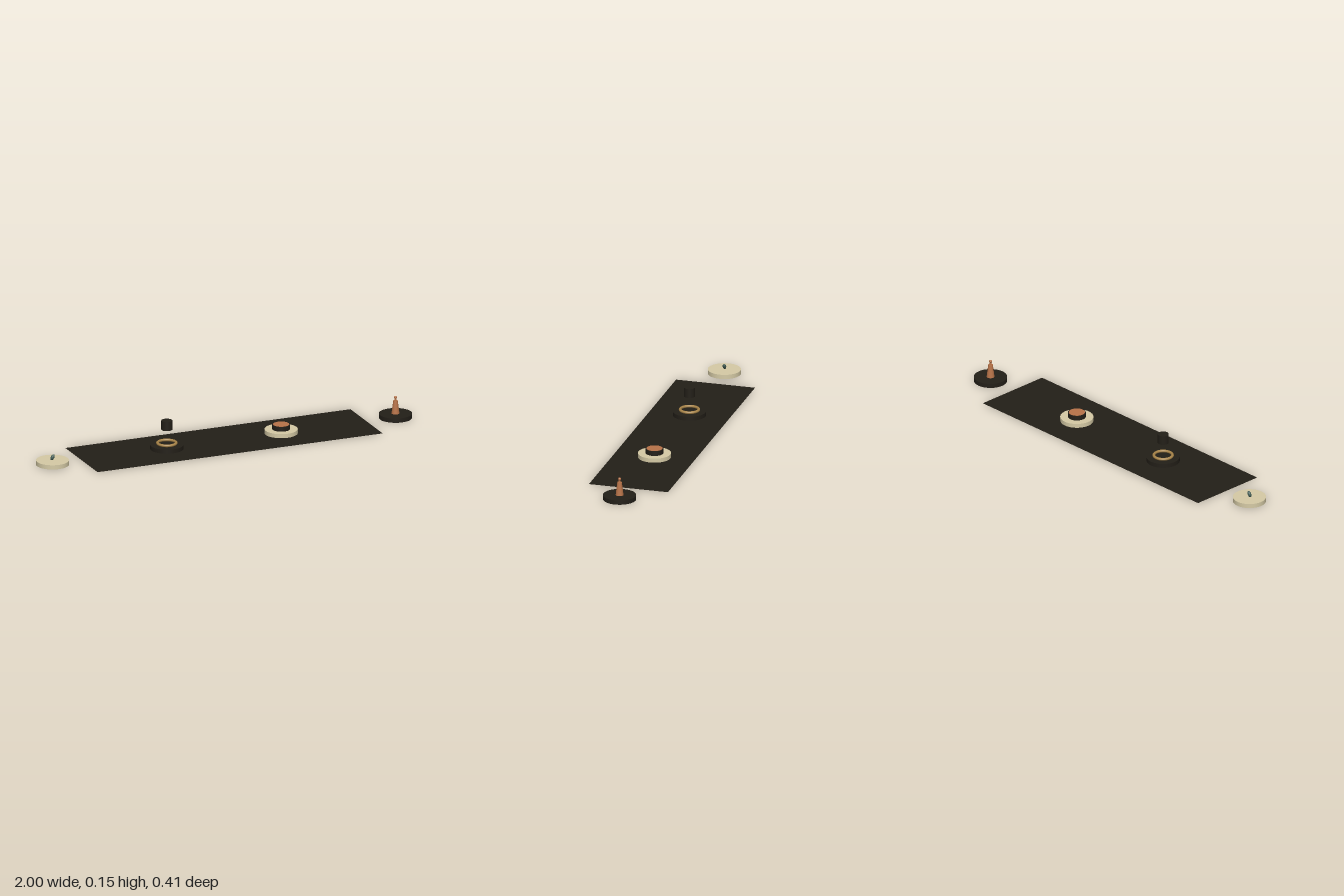
import * as THREE from 'three';

const mat = (color, opts = {}) => new THREE.MeshStandardMaterial({ color, ...opts });
const DARK = 0x231f18, CREAM = 0xd6cba6, COPPER = 0xb87348, GOLD = 0xa88448, TEAL = 0x3f5a52;

export function createModel() {
  const root = new THREE.Group();
  root.name = 'displayRow';

  function add(parent, name, geometry, color, x, y, z = 0, opts) {
    const mesh = new THREE.Mesh(geometry, mat(color, opts));
    mesh.name = name;
    mesh.position.set(x, y, z);
    parent.add(mesh);
    return mesh;
  }
  const cyl = (rTop, rBottom, h, sides = 48) => new THREE.CylinderGeometry(rTop, rBottom, h, sides);

  // Thin mat under the two middle stands
  const runner = add(root, 'floorMat', new THREE.PlaneGeometry(1.526, 0.405), DARK, 0, 0.001, 0,
    { side: THREE.DoubleSide });
  runner.rotation.x = -Math.PI / 2;

  // Four round stands in a row, alternating cream and dark
  const stands = ['seedStand', 'ringStand', 'drumStand', 'pawnStand'].map((name, i) => {
    const stand = new THREE.Group();
    stand.name = name;
    stand.position.x = -0.918 + i * 0.612;
    add(stand, 'base', cyl(0.082, 0.082, 0.022), i % 2 ? DARK : CREAM, 0, 0.011);
    root.add(stand);
    return stand;
  });
  const [seed, ring, drum, pawn] = stands;

  // Small leaning seed
  const bud = add(seed, 'seed', new THREE.SphereGeometry(0.009, 16, 12), TEAL, 0, 0.036);
  bud.scale.y = 1.75;
  bud.rotation.z = -0.5;

  // Gold ring with a plug floating above it
  const hoop = add(ring, 'goldRing', new THREE.TorusGeometry(0.046, 0.007, 12, 48), GOLD, 0, 0.03);
  hoop.rotation.x = Math.PI / 2;
  add(ring, 'floatingPlug', cyl(0.0275, 0.0275, 0.047, 32), DARK, 0, 0.1235);

  // Dark drum with a copper top
  add(drum, 'drum', cyl(0.044, 0.044, 0.024), DARK, 0, 0.034);
  add(drum, 'copperTop', cyl(0.04, 0.04, 0.002), COPPER, 0, 0.046);

  // Tapered copper pawn: body, neck and head
  add(pawn, 'pawnBody', cyl(0.0115, 0.02, 0.066, 12), COPPER, 0, 0.055);
  add(pawn, 'pawnNeck', cyl(0.005, 0.006, 0.016, 12), COPPER, 0, 0.095);
  add(pawn, 'pawnHead', new THREE.SphereGeometry(0.0075, 12, 8), COPPER, 0, 0.105);

  return root;
}
